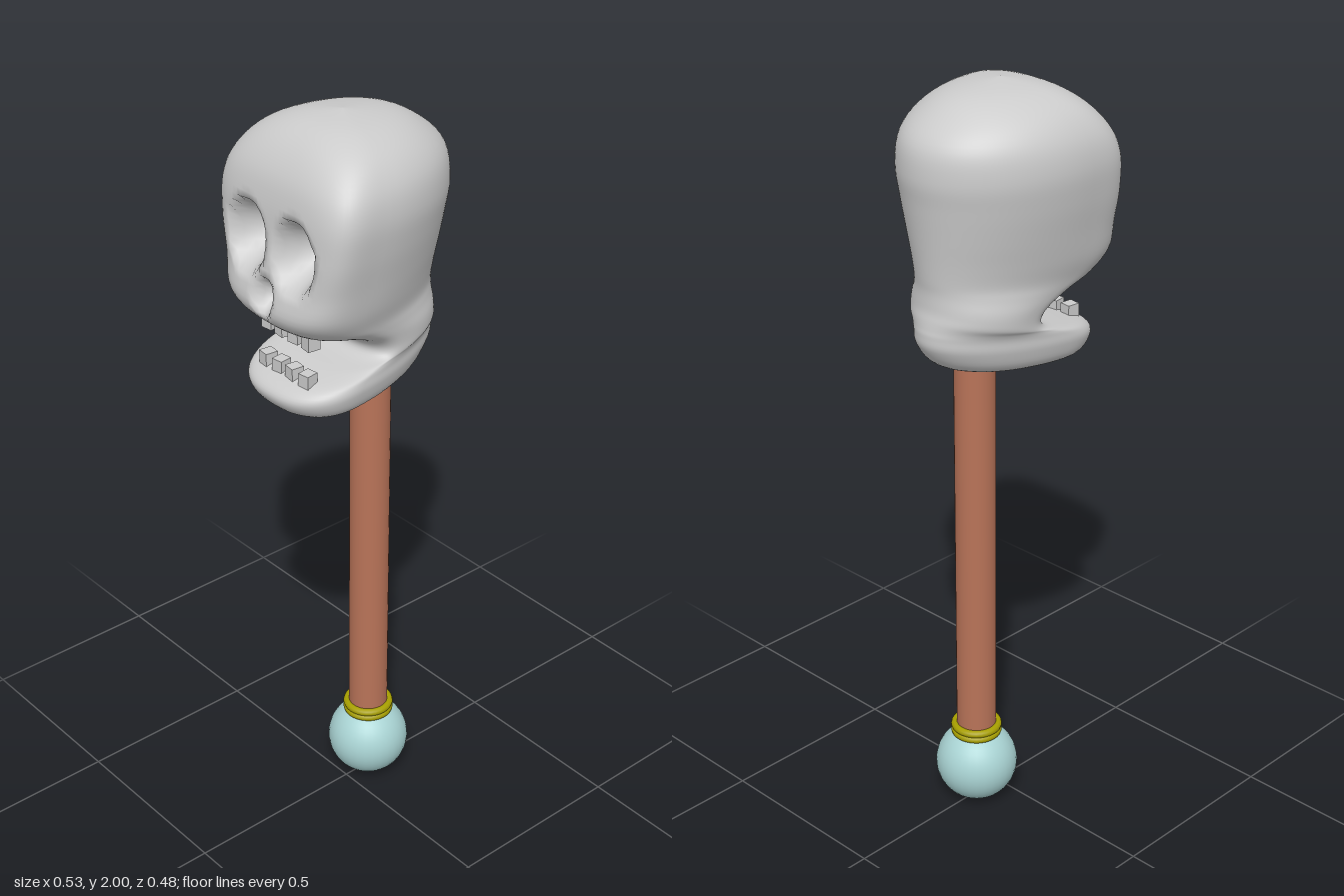
import * as THREE from 'three';

const AXIS = 0.08; // x of the staff

// Skull rings: front x, front y, back x, back y, half width, front squareness
const RINGS = [
  [-0.02, 1.272, -0.02, 1.272, 0, 2.4],
  [-0.15, 1.273, 0.13, 1.295, 0.10, 2.4],
  [-0.22, 1.285, 0.205, 1.325, 0.147, 2.4],
  [-0.25, 1.325, 0.245, 1.375, 0.165, 2.4],
  [-0.225, 1.355, 0.25, 1.41, 0.165, 2.4],
  [-0.14, 1.378, 0.247, 1.43, 0.162, 2.4],
  [-0.055, 1.395, 0.243, 1.45, 0.162, 3],
  [-0.033, 1.42, 0.238, 1.47, 0.163, 3],
  [-0.06, 1.452, 0.236, 1.49, 0.167, 3],
  [-0.14, 1.48, 0.235, 1.52, 0.173, 2.6],
  [-0.225, 1.508, 0.238, 1.55, 0.182, 2.6],
  [-0.266, 1.56, 0.243, 1.60, 0.200, 3],
  [-0.248, 1.64, 0.25, 1.66, 0.215, 4],
  [-0.236, 1.73, 0.26, 1.74, 0.232, 5],
  [-0.226, 1.82, 0.268, 1.81, 0.240, 5],
  [-0.205, 1.89, 0.255, 1.885, 0.225, 4],
  [-0.16, 1.95, 0.20, 1.94, 0.180, 3],
  [-0.10, 1.985, 0.12, 1.98, 0.105, 2.4],
  [-0.01, 2.0, -0.01, 2.0, 0, 2.4],
];

// Hollows in the face: y, z, y radius, z radius, depth
const HOLLOWS = [
  [1.715, -0.085, 0.095, 0.075, 0.13],
  [1.715, 0.085, 0.095, 0.075, 0.13],
  [1.59, 0, 0.05, 0.04, 0.06],
];

const catmull = (a, b, c, d, t) =>
  0.5 * (2 * b + (c - a) * t + (2 * a - 5 * b + 4 * c - d) * t * t + (3 * b - a - 3 * c + d) * t * t * t);

function ringAt(u) {
  const last = RINGS.length - 1;
  const i = Math.min(Math.floor(u), last - 1);
  const at = (k) => RINGS[Math.min(Math.max(k, 0), last)];
  return RINGS[0].map((_, k) => catmull(at(i - 1)[k], at(i)[k], at(i + 1)[k], at(i + 2)[k], u - i));
}

function skullGeometry() {
  const seg = 112, steps = (RINGS.length - 1) * 5;
  const pos = [], index = [];
  for (let i = 0; i <= steps; i++) {
    const [xf, yf, xb, yb, w, n] = ringAt(i / 5);
    const xm = xf + 0.32 * (xb - xf);
    for (let j = 0; j < seg; j++) {
      const phi = (j / seg) * Math.PI * 2;
      const c = Math.cos(phi), s = Math.sin(phi);
      // squared-off front, round back
      const k = c > 0 ? Math.pow(c ** n + Math.abs(s) ** n, -1 / n) : 1;
      let x = c > 0 ? xm - (xm - xf) * c * k : xm - (xb - xm) * c;
      const z = Math.max(w, 0) * s * k;
      const t = xb - xf > 1e-4 ? (x - xf) / (xb - xf) : 0;
      const y = yf + (yb - yf) * t;
      // press eye sockets and nose into the face
      if (c > 0 && x < -0.12 && y > 1.53) {
        for (const [hy, hz, ry, rz, depth] of HOLLOWS) {
          const d = Math.hypot((y - hy) / ry, (z - hz) / rz);
          if (d < 1) x += depth * (1 - d * d) ** 1.5;
        }
      }
      pos.push(x, y, z);
      if (i < steps) {
        const a = i * seg + j, b = i * seg + ((j + 1) % seg);
        index.push(a, b, a + seg, b, b + seg, a + seg);
      }
    }
  }
  const g = new THREE.BufferGeometry();
  g.setAttribute('position', new THREE.Float32BufferAttribute(pos, 3));
  g.setIndex(index);
  g.computeVertexNormals();
  return g;
}

export function createModel() {
  const group = new THREE.Group();
  const mat = (color) => new THREE.MeshStandardMaterial({ color });
  const bone = mat(0xcccccc), wood = mat(0xb87358), gold = mat(0xa8a000), gem = mat(0xa9d3d3);
  const add = (name, geometry, material, x, y, z = 0) => {
    const mesh = new THREE.Mesh(geometry, material);
    mesh.name = name;
    mesh.position.set(x, y, z);
    group.add(mesh);
    return mesh;
  };

  // Staff with collar rings and round pommel
  add('staff', new THREE.CylinderGeometry(0.053, 0.053, 1.15, 32), wood, AXIS, 0.775);
  add('pommel', new THREE.SphereGeometry(0.11, 32, 24), gem, AXIS, 0.112);
  for (const y of [0.211, 0.228]) {
    const ring = add('collarRing', new THREE.TorusGeometry(0.058, 0.0105, 10, 32), gold, AXIS, y);
    ring.rotation.x = Math.PI / 2;
  }

  // Skull with open jaw
  add('skull', skullGeometry(), bone, 0, 0);

  // Two short rows of teeth
  const tooth = new THREE.BoxGeometry(0.034, 0.038, 0.032);
  [-0.075, -0.025, 0.025, 0.075].forEach((z, i) => {
    const tilt = (i % 2 ? 1 : -1) * 0.12;
    add('lowerTooth', tooth, bone, -0.185, 1.376, z).rotation.y = tilt;
    add('upperTooth', tooth, bone, -0.175, 1.477, z).rotation.y = -tilt;
  });
  return group;
}
